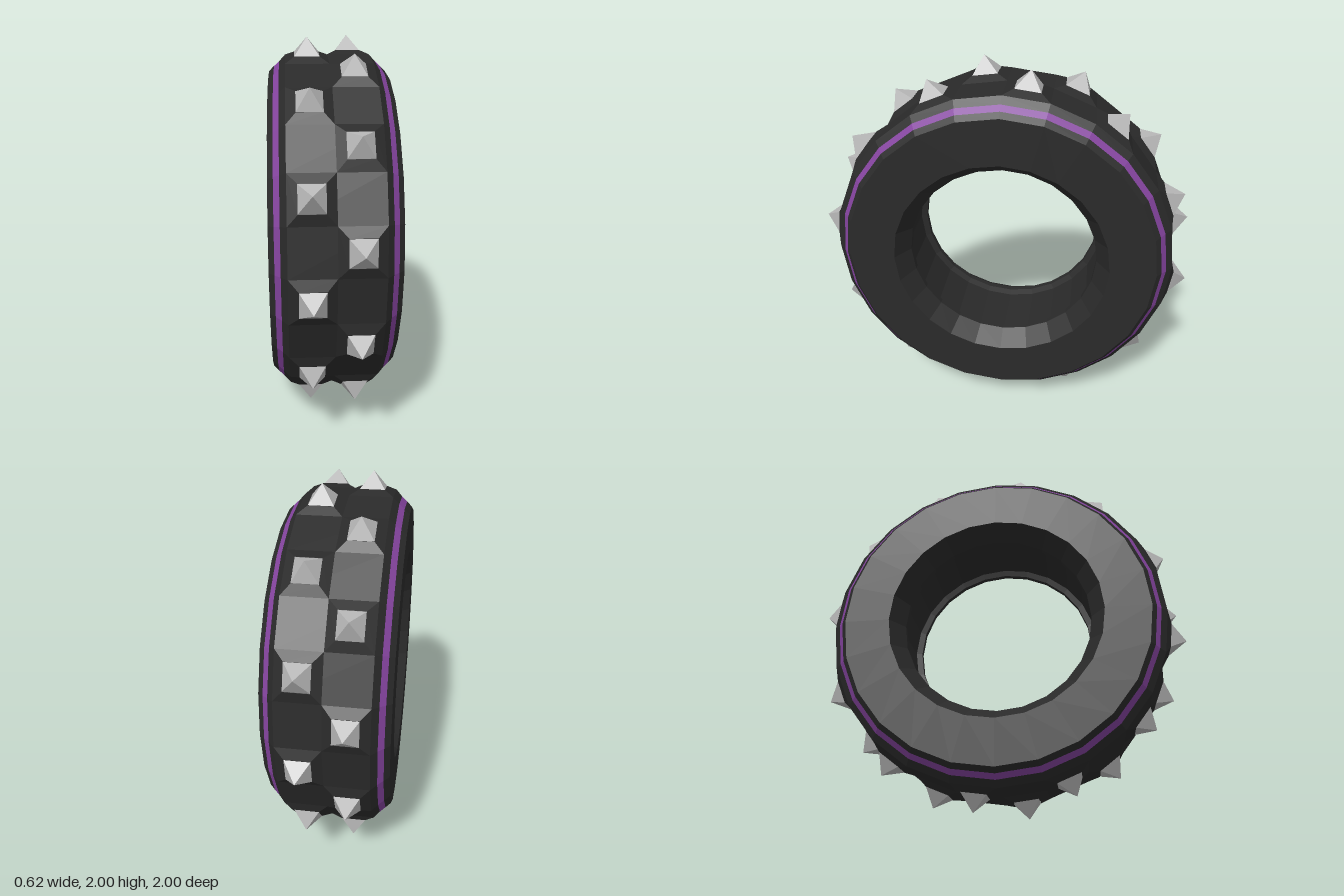
import * as THREE from 'three';

const rubber = new THREE.MeshStandardMaterial({ color: 0x2a2a2a, flatShading: true, name: 'dark rubber' });
const purple = new THREE.MeshStandardMaterial({ color: 0x85449f, flatShading: true, name: 'purple stripe' });
const steel = new THREE.MeshStandardMaterial({ color: 0xb8b8b8, flatShading: true, name: 'grey steel' });

const SIDES = 24;
const HALF_FACET = Math.PI / SIDES;
const TREAD_R = 0.905;                            // radius at the tread corners
const FACET_R = TREAD_R * Math.cos(HALF_FACET);   // radius at the facet middles
const MOUND_R = 0.923;                            // top of the mounds
const TIP_R = 1.0086;                             // spike tips
const ROW_X = 0.111;                              // row centre, also half a row's width

// Ring swept around the x axis from [x, radius] points
function ring(name, points, material) {
  const geo = new THREE.LatheGeometry(points.map(([x, r]) => new THREE.Vector2(r, x)), SIDES);
  geo.rotateZ(-Math.PI / 2);
  const mesh = new THREE.Mesh(geo, material);
  mesh.name = name;
  return mesh;
}

// Open square frustum pointing to the front (+z), sized by half widths
function frustum(bottom, top, r0, r1) {
  const geo = new THREE.CylinderGeometry(top * Math.SQRT2, bottom * Math.SQRT2, r1 - r0, 4, 1, true);
  geo.rotateY(Math.PI / 4);
  geo.rotateX(Math.PI / 2);
  geo.translate(0, 0, (r0 + r1) / 2);
  return geo;
}

export function createModel() {
  const model = new THREE.Group();
  model.name = 'spikedTyre';
  const tyre = new THREE.Group();
  tyre.name = 'tyre';
  tyre.position.y = 1;
  model.add(tyre);

  // Tread base with sloping shoulders
  const edge = 2 * ROW_X;
  tyre.add(ring('treadBase', [[-0.253, 0.871], [-edge, TREAD_R], [edge, TREAD_R], [0.253, 0.871]], rubber));

  // Stripes on both shoulders
  tyre.add(ring('leftStripe', [[0.253, 0.871], [0.281, 0.846]], purple));
  tyre.add(ring('rightStripe', [[-0.281, 0.846], [-0.253, 0.871]], purple));

  // Side walls, bevelled lips and the recessed inside
  const side = [[0.281, 0.846], [0.308, 0.82], [0.308, 0.577], [0.205, 0.508], [0.175, 0.508], [0.165, 0.54]];
  const mirrored = side.map(([x, r]) => [-x, r]).reverse();
  tyre.add(ring('sideWallsAndInside', [...side, ...mirrored], rubber));

  // Mound filling one tread facet, and the spike on top of it
  const mound = frustum(ROW_X, 0.0635, FACET_R, MOUND_R);
  mound.scale(1, TREAD_R * Math.sin(HALF_FACET) / ROW_X, 1);
  const spike = frustum(0.0635, 0, MOUND_R, TIP_R);
  spike.scale(1, 1.04, 1);

  // Two rows, staggered so that mounds and flat facets alternate
  for (const s of [1, -1]) {
    for (let i = 0; i < SIDES / 2; i++) {
      const stud = new THREE.Group();
      stud.name = 'stud';
      stud.position.x = s * ROW_X;
      stud.rotation.x = -(s + 4 * i) * HALF_FACET;
      for (const [name, geo, mat] of [['mound', mound, rubber], ['spike', spike, steel]]) {
        const mesh = new THREE.Mesh(geo, mat);
        mesh.name = name;
        stud.add(mesh);
      }
      tyre.add(stud);
    }
  }
  return model;
}
